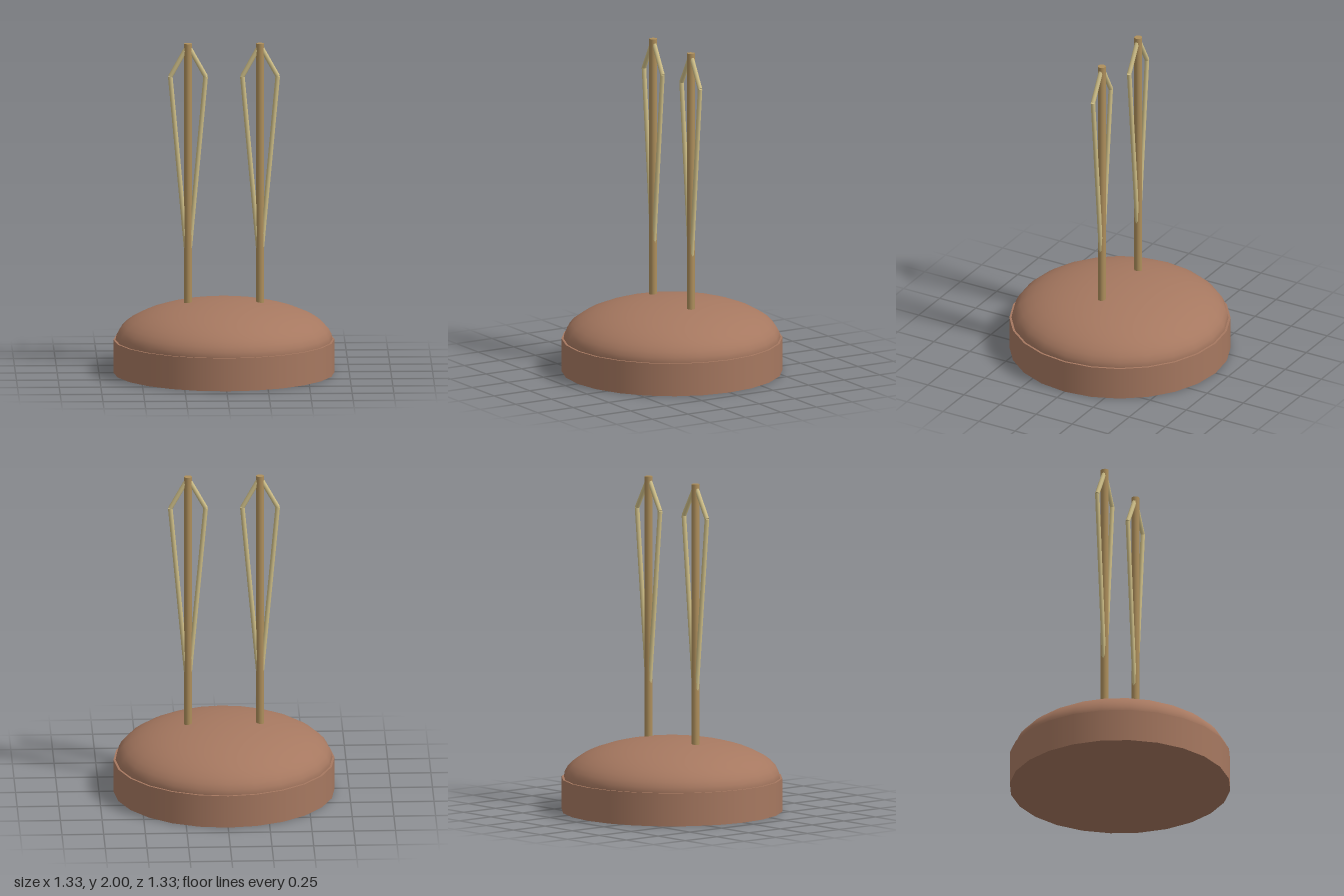
import * as THREE from 'three';

const baseBrown = new THREE.MeshStandardMaterial({ color: 0xa67860 });
const postTan = new THREE.MeshStandardMaterial({ color: 0xae8f5c });
const rodStraw = new THREE.MeshStandardMaterial({ color: 0xcfbf88 });

function part(name, geometry, material, parent) {
  const mesh = new THREE.Mesh(geometry, material);
  mesh.name = name;
  parent.add(mesh);
  return mesh;
}

// Straight round rod between two points
function rod(name, a, b, radius, sides, material, parent) {
  const from = new THREE.Vector3(...a);
  const dir = new THREE.Vector3(...b).sub(from);
  const mesh = part(name, new THREE.CylinderGeometry(radius, radius, dir.length(), sides), material, parent);
  mesh.position.copy(from).addScaledVector(dir, 0.5);
  mesh.quaternion.setFromUnitVectors(new THREE.Vector3(0, 1, 0), dir.normalize());
  return mesh;
}

export function createModel() {
  const model = new THREE.Group();
  model.name = 'twinPostStand';

  // Round base with a shallow dome on top
  part('base', new THREE.CylinderGeometry(0.663, 0.663, 0.2, 24), baseBrown, model).position.y = 0.1;
  const dome = new THREE.SphereGeometry(0.65, 24, 12, 0, Math.PI * 2, 0, Math.PI / 2);
  dome.scale(1, 0.24 / 0.65, 1);
  part('dome', dome, baseBrown, model).position.y = 0.2;

  // Two posts, each with a kite-shaped frame of thin rods
  for (const side of [-1, 1]) {
    const ear = new THREE.Group();
    ear.name = side > 0 ? 'leftEar' : 'rightEar';
    ear.position.x = side * 0.216;
    model.add(ear);
    rod('post', [0, 0.36, 0], [0, 2, 0], 0.024, 12, postTan, ear);
    for (const s of [-1, 1]) {
      rod('lowerRod', [0, 0.64, 0], [s * 0.106, 1.8, 0], 0.014, 8, rodStraw, ear);
      rod('upperRod', [s * 0.106, 1.8, 0], [0, 1.99, 0], 0.014, 8, rodStraw, ear);
    }
  }
  return model;
}
